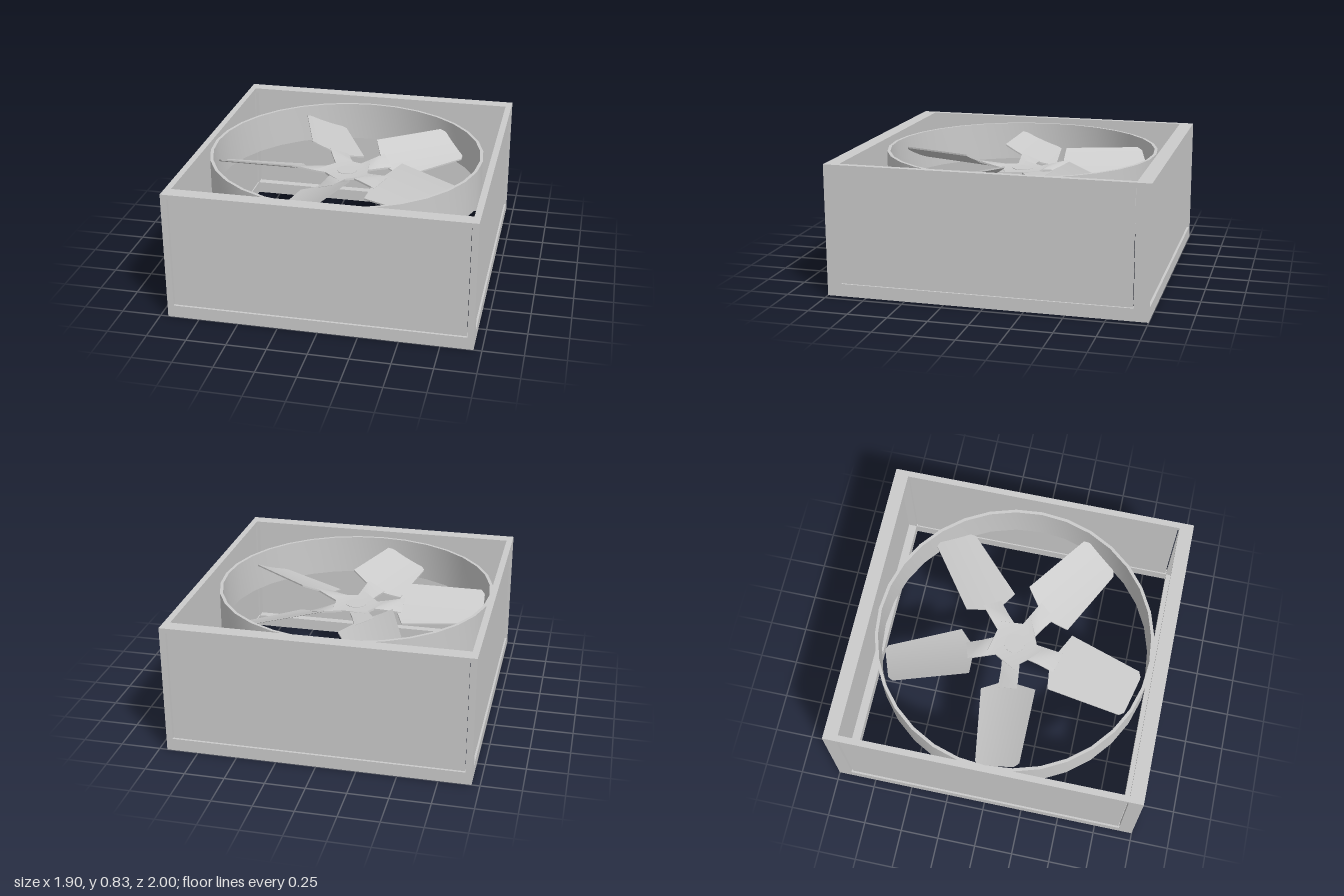
import * as THREE from 'three';
import { toCreasedNormals } from 'three/addons/utils/BufferGeometryUtils.js';

const material = new THREE.MeshStandardMaterial({ color: 0xcccccc });
const lerp = THREE.MathUtils.lerp;

function add(parent, name, geometry, x = 0, y = 0, z = 0) {
  const mesh = new THREE.Mesh(geometry, material);
  mesh.name = name;
  mesh.position.set(x, y, z);
  parent.add(mesh);
  return mesh;
}

// Box given by its minimum and maximum corners
function bar(parent, name, a, b) {
  const size = b.map((v, i) => v - a[i]);
  const mid = b.map((v, i) => (v + a[i]) / 2);
  return add(parent, name, new THREE.BoxGeometry(...size), ...mid);
}

// Cross-blade camber: height at sideways offset v
const camber = (v) => 0.36 * v + 0.45 * v * v;

// Pitched, curved blade with a notched root and clipped tip corners
function bladeGeometry() {
  const geo = new THREE.BoxGeometry(1, 0.01, 1, 12, 1, 24);
  const p = geo.attributes.position;
  for (let i = 0; i < p.count; i++) {
    const t = p.getX(i) + 0.5;
    const s = 0.5 - p.getZ(i);
    const root = s < 0.31 ? lerp(0.33, 0.28, s / 0.31)
      : s > 0.66 ? lerp(0.28, 0.31, (s - 0.66) / 0.34) : 0.28;
    const clip = 0.025 * Math.max(0, 1 - Math.min(s, 1 - s) / 0.1);
    const tip = lerp(0.835, 0.82, s) - clip;
    const v = lerp(lerp(-0.15, -0.08, t), 0.2, s);
    p.setXYZ(i, lerp(root, tip, t), p.getY(i) + camber(v), -v);
  }
  geo.computeVertexNormals();
  return geo;
}

// Five-armed spider plate whose arms twist to meet the blades
function spiderGeometry() {
  const arm = [[0.13, -0.055], [0.2, -0.047], [0.31, -0.043], [0.31, 0.083], [0.2, 0.07], [0.13, 0.062]];
  const points = [];
  for (let k = 0; k < 5; k++) {
    for (const [x, y] of arm) {
      points.push(new THREE.Vector2(x, y).rotateAround(new THREE.Vector2(), k * Math.PI * 0.4));
    }
  }
  const geo = new THREE.ExtrudeGeometry(new THREE.Shape(points), { depth: 0.012, bevelEnabled: false });
  geo.rotateX(-Math.PI / 2);
  const p = geo.attributes.position;
  for (let i = 0; i < p.count; i++) {
    const x = p.getX(i), z = p.getZ(i);
    const step = Math.PI * 0.4;
    const angle = Math.atan2(-z, x);
    const v = Math.hypot(x, z) * Math.sin(angle - Math.round(angle / step) * step);
    const twist = THREE.MathUtils.smoothstep(Math.hypot(x, z), 0.14, 0.3);
    p.setY(i, p.getY(i) - 0.006 + camber(v) * twist);
  }
  return toCreasedNormals(geo, 0.6);
}

export function createModel() {
  const model = new THREE.Group();
  model.name = 'boxFan';

  // Housing frame, front and back
  const frame = new THREE.Group();
  frame.name = 'housingFrame';
  model.add(frame);
  const outline = new THREE.Shape([[-0.95, 0], [0.95, 0], [0.95, 0.83], [-0.95, 0.83]]
    .map((q) => new THREE.Vector2(...q)));
  outline.holes.push(new THREE.Path([[-0.91, 0.08], [-0.91, 0.8], [0.91, 0.8], [0.91, 0.08]]
    .map((q) => new THREE.Vector2(...q))));
  const endFrame = new THREE.ExtrudeGeometry(outline, { depth: 0.09, bevelEnabled: false });
  add(frame, 'frontFrame', endFrame, 0, 0, 0.91);
  add(frame, 'backFrame', endFrame, 0, 0, -1);

  // Side rails and recessed wall panels
  for (const [side, s] of [['left', 1], ['right', -1]]) {
    const x0 = s > 0 ? 0.91 : -0.95;
    bar(frame, side + 'BottomRail', [x0, 0, -0.91], [x0 + 0.04, 0.08, 0.91]);
    bar(frame, side + 'TopRail', [x0, 0.8, -0.91], [x0 + 0.04, 0.83, 0.91]);
    add(model, side + 'Panel', new THREE.BoxGeometry(0.02, 0.72, 1.805), s * 0.928, 0.44, 0);
  }
  for (const [side, s] of [['front', 1], ['back', -1]]) {
    add(model, side + 'Panel', new THREE.BoxGeometry(1.81, 0.72, 0.02), 0, 0.44, s * 0.975);
  }

  // Round shroud
  const fan = new THREE.Group();
  fan.name = 'fan';
  fan.position.set(-0.03, 0, 0.01);
  model.add(fan);
  const profile = [[0.867, 0.53], [0.887, 0.53], [0.887, 0.79], [0.867, 0.79], [0.867, 0.53]]
    .map((q) => new THREE.Vector2(...q));
  add(fan, 'shroudRing', toCreasedNormals(new THREE.LatheGeometry(profile, 32), 0.6));

  // Rotor: spider, hub and blades
  const rotor = new THREE.Group();
  rotor.name = 'rotor';
  rotor.position.y = 0.645;
  fan.add(rotor);
  add(rotor, 'spider', spiderGeometry());
  add(rotor, 'hub', new THREE.CylinderGeometry(0.066, 0.066, 0.03, 32), 0, -0.006, 0);
  const blade = bladeGeometry();
  for (let k = 0; k < 5; k++) {
    add(rotor, 'blade', blade).rotation.y = k * Math.PI * 0.4;
  }
  // Turn the first blade to the right-hand wall
  rotor.rotation.y = Math.PI;
  return model;
}
